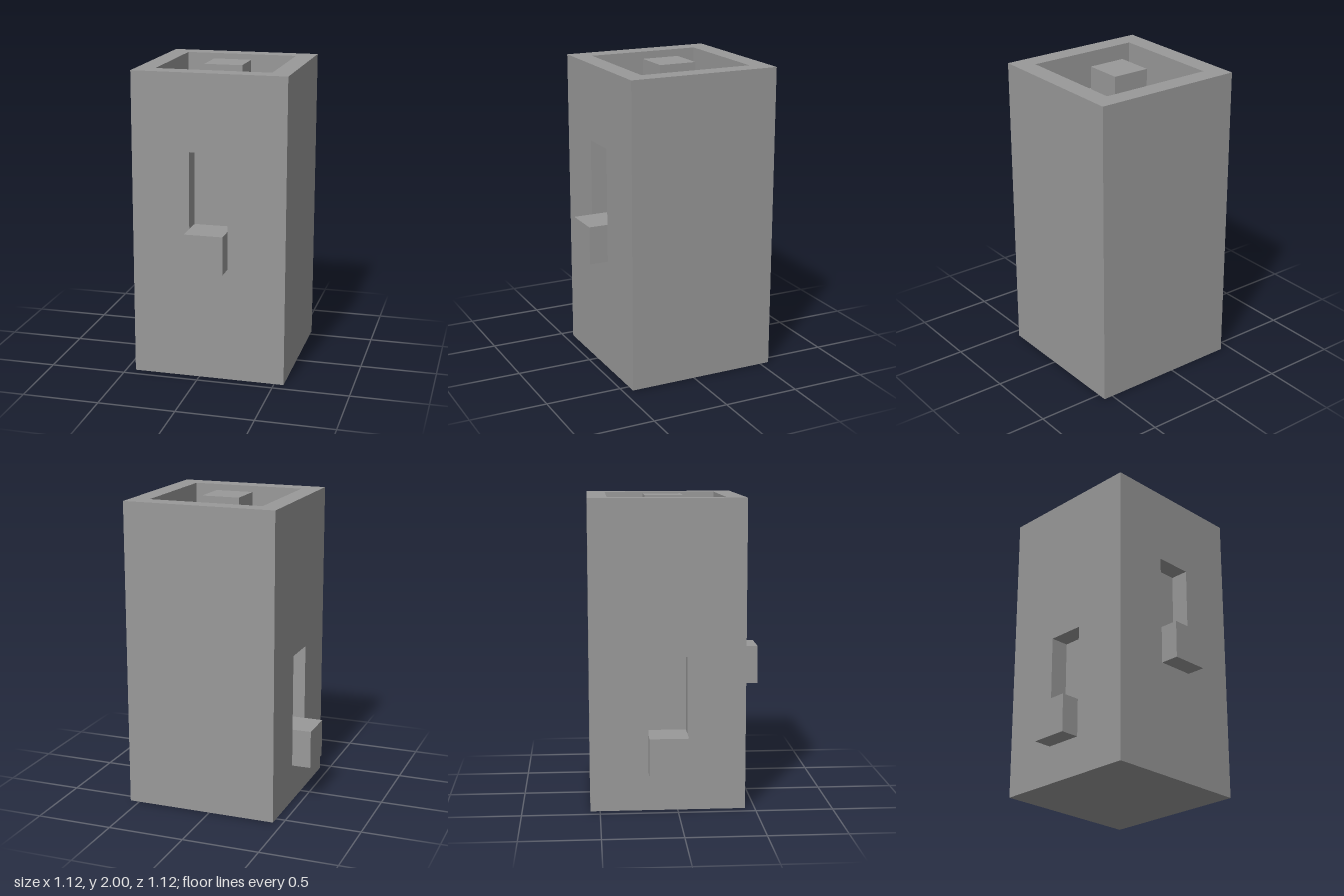
import * as THREE from 'three';

const T = 0.125; // wall thickness

export function createModel() {
  const model = new THREE.Group();
  const grey = new THREE.MeshStandardMaterial({ color: 0x999999 });
  grey.name = 'plain grey';

  function add(name, geometry) {
    const mesh = new THREE.Mesh(geometry, grey);
    mesh.name = name;
    model.add(mesh);
    return mesh;
  }

  // Box given by its lower and upper corners
  function box(name, [x0, y0, z0], [x1, y1, z1]) {
    const geometry = new THREE.BoxGeometry(x1 - x0, y1 - y0, z1 - z0);
    geometry.translate((x0 + x1) / 2, (y0 + y1) / 2, (z0 + z1) / 2);
    return add(name, geometry);
  }

  // Full-height wall with a rectangular slot, extruded outwards
  function slottedWall(name, u0, u1, slotLeft, slotBottom) {
    const rect = (Type, a, b, c, d) => {
      const path = new Type();
      path.moveTo(a, b).lineTo(c, b).lineTo(c, d).lineTo(a, d).closePath();
      return path;
    };
    const shape = rect(THREE.Shape, u0, 0, u1, 2);
    shape.holes.push(rect(THREE.Path, slotLeft, slotBottom, slotLeft + 0.25, slotBottom + 0.5));
    return add(name, new THREE.ExtrudeGeometry(shape, { depth: T, bevelEnabled: false }));
  }

  // Solid core: its top is the basin floor, its sides back the slots
  box('core', [-0.3125, 0, -0.4375], [0.4375, 1.75, 0.3125]);
  box('pillar', [-0.0625, 1.75, -0.1875], [0.1875, 2, 0.0625]);

  // Walls rising above the core to form the rim
  box('backWall', [-0.4375, 0, -0.5625], [0.5625, 2, -0.4375]);
  box('leftWall', [0.4375, 0, -0.4375], [0.5625, 2, 0.3125]);
  slottedWall('frontWall', -0.4375, 0.5625, -0.0625, 1).position.z = 0.3125;
  const rightWall = slottedWall('rightWall', -0.4375, 0.3125, -0.1875, 0.5);
  rightWall.rotation.y = -Math.PI / 2;
  rightWall.position.x = -0.3125;

  // Ledges below the slots
  box('frontLedge', [-0.0625, 0.75, 0.4375], [0.1875, 1, 0.5625]);
  box('rightLedge', [-0.5625, 0.25, -0.1875], [-0.4375, 0.5, 0.0625]);

  return model;
}
